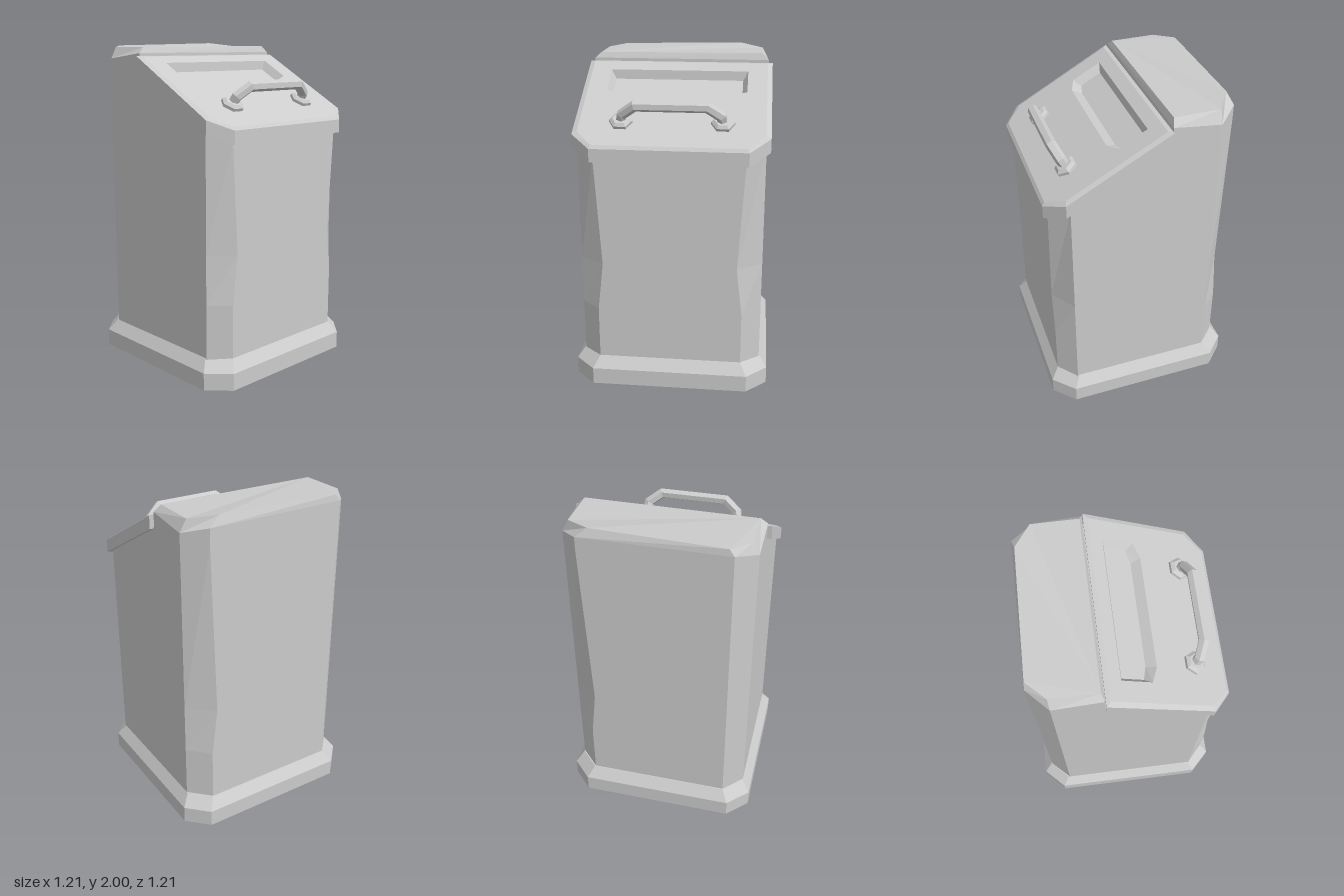
import * as THREE from 'three';

const SLOPE = 0.55;
const lidY = (z, h = 0) => 1.86 - SLOPE * z + h; // height of the sloping lid plane

function makeMesh(name, geometry) {
  const material = new THREE.MeshStandardMaterial({ color: 0xcccccc, flatShading: true });
  const m = new THREE.Mesh(geometry, material);
  m.name = name;
  return m;
}

// Skin a stack of equal-length rings of [x, y, z]; rings run counterclockwise seen from the end
function loft(rings, capStart = true, capEnd = true) {
  const pos = [];
  const tri = (a, b, c) => pos.push(...a, ...b, ...c);
  const n = rings[0].length;
  for (let r = 0; r < rings.length - 1; r++) {
    for (let i = 0; i < n; i++) {
      const j = (i + 1) % n;
      const [lo, hi] = [rings[r], rings[r + 1]];
      tri(lo[i], lo[j], hi[j]);
      tri(lo[i], hi[j], hi[i]);
    }
  }
  const first = rings[0], last = rings[rings.length - 1];
  for (let i = 1; i < n - 1; i++) {
    if (capStart) tri(first[0], first[i + 1], first[i]);
    if (capEnd) tri(last[0], last[i], last[i + 1]);
  }
  const g = new THREE.BufferGeometry();
  g.setAttribute('position', new THREE.Float32BufferAttribute(pos, 3));
  g.computeVertexNormals();
  return g;
}

// Octagon with cut corners
const octagon = (hx, cx, hz, cz, y) => [
  [-cx, y, hz], [cx, y, hz], [hx, y, cz], [hx, y, -cz],
  [cx, y, -hz], [-cx, y, -hz], [-hx, y, -cz], [-hx, y, cz],
];

// Body ring: worn amount pulls three of the corner edges inward
const bodyRing = (y, worn, topped = false) => [
  [-0.445 + worn, 0.555], [0.445 - worn, 0.555], [0.555, 0.45], [0.555, -0.14], [0.555, -0.43],
  [0.44 - worn, -0.55], [-0.44, -0.55], [-0.555, -0.43], [-0.555, -0.14], [-0.555, 0.45],
].map(([x, z]) => [x, topped ? lidY(Math.max(z, -0.14), -0.085) : y, z]);

function createHood() {
  const plan = [[-0.555, -0.14], [0.555, -0.14], [0.555, -0.43], [0.44, -0.55], [-0.44, -0.55], [-0.555, -0.43]];
  const shoulder = [1.94, 1.94, 1.905, 1.945, 1.945, 1.905];
  const top = [
    [-0.515, 1.975, -0.155], [0.515, 1.98, -0.155], [0.515, 1.98, -0.435],
    [0.37, 2, -0.53], [-0.41, 1.985, -0.545], [-0.515, 1.975, -0.435],
  ];
  return makeMesh('rearHood', loft([
    plan.map(([x, z]) => [x, lidY(-0.14, -0.085), z]),
    plan.map(([x, z], i) => [x, shoulder[i], z]),
    top,
  ]));
}

function createLid() {
  const lid = new THREE.Group();
  lid.name = 'lid';
  const onLid = (pts, h) => pts.map(([x, z]) => [x, lidY(z, h), z]);
  const outer = [[-0.46, 0.585], [0.46, 0.585], [0.58, 0.48], [0.58, -0.135], [-0.58, -0.135], [-0.58, 0.48]];
  const inner = [[-0.45, 0.57], [0.45, 0.57], [0.55, 0.47], [0.55, -0.11], [-0.55, -0.11], [-0.55, 0.47]];
  const opening = [[-0.34, 0.17], [0.34, 0.17], [0.43, 0.135], [0.43, -0.04], [-0.43, -0.04], [-0.43, 0.135]];
  const floor = [[-0.32, 0.11], [0.32, 0.11], [0.4, 0.09], [0.4, -0.035], [-0.4, -0.035], [-0.4, 0.09]];

  // Plate sides and bevel
  lid.add(makeMesh('lidRim', loft([onLid(outer, -0.093), onLid(outer, -0.012), onLid(inner, 0)], true, false)));

  // Top face with an opening for the recess
  const toShape = (pts) => pts.map(([x, z]) => new THREE.Vector2(x, -z));
  const shape = new THREE.Shape(toShape(inner));
  shape.holes.push(new THREE.Path(toShape(opening)));
  const face = new THREE.ShapeGeometry(shape).rotateX(-Math.PI / 2);
  const p = face.attributes.position;
  for (let i = 0; i < p.count; i++) p.setY(i, lidY(p.getZ(i)));
  face.computeVertexNormals();
  lid.add(makeMesh('lidFace', face));

  // Sunken panel
  lid.add(makeMesh('lidRecess', loft([onLid(opening, 0), onLid(floor, -0.055)], false, true)));
  return lid;
}

function createHandle() {
  const handle = new THREE.Group();
  handle.name = 'handle';

  // Hexagonal bar swept along a bent path with mitred corners
  const path = [[-0.3, 0], [-0.29, 0.06], [-0.21, 0.125], [0.21, 0.125], [0.29, 0.06], [0.3, 0]]
    .map(([x, y]) => new THREE.Vector2(x, y));
  const rings = path.map((pt, i) => {
    const before = pt.clone().sub(path[Math.max(i - 1, 0)]).normalize();
    const after = path[Math.min(i + 1, path.length - 1)].clone().sub(pt).normalize();
    const t = before.add(after).normalize();
    return Array.from({ length: 6 }, (_, k) => {
      const a = (k * Math.PI) / 3;
      const s = 0.033 * Math.sin(a);
      return [pt.x + t.y * s, pt.y - t.x * s, 0.033 * Math.cos(a)];
    });
  });
  handle.add(makeMesh('handleBar', loft(rings)));

  // Hexagonal feet
  for (const side of [-1, 1]) {
    const foot = new THREE.CylinderGeometry(0.07, 0.07, 0.02, 6).rotateY(Math.PI / 2);
    const collar = new THREE.CylinderGeometry(0.05, 0.07, 0.015, 6).rotateY(Math.PI / 2);
    const footMesh = makeMesh('handleFoot', foot);
    const collarMesh = makeMesh('handleCollar', collar);
    footMesh.position.set(side * 0.3, 0.008, 0);
    collarMesh.position.set(side * 0.3, 0.0255, 0);
    handle.add(footMesh, collarMesh);
  }
  handle.position.set(0, lidY(0.395), 0.395);
  handle.rotation.x = Math.atan(SLOPE);
  return handle;
}

export function createModel() {
  const model = new THREE.Group();
  model.name = 'bin';
  model.add(makeMesh('base', loft([
    octagon(0.605, 0.48, 0.605, 0.48, 0),
    octagon(0.605, 0.48, 0.605, 0.48, 0.105),
    octagon(0.555, 0.44, 0.555, 0.44, 0.175),
  ])));
  model.add(makeMesh('body', loft([
    bodyRing(0.16, 0.005), bodyRing(0.5, 0.005), bodyRing(0.8, 0.04), bodyRing(0, 0, true),
  ], false)));
  model.add(createHood(), createLid(), createHandle());
  return model;
}
